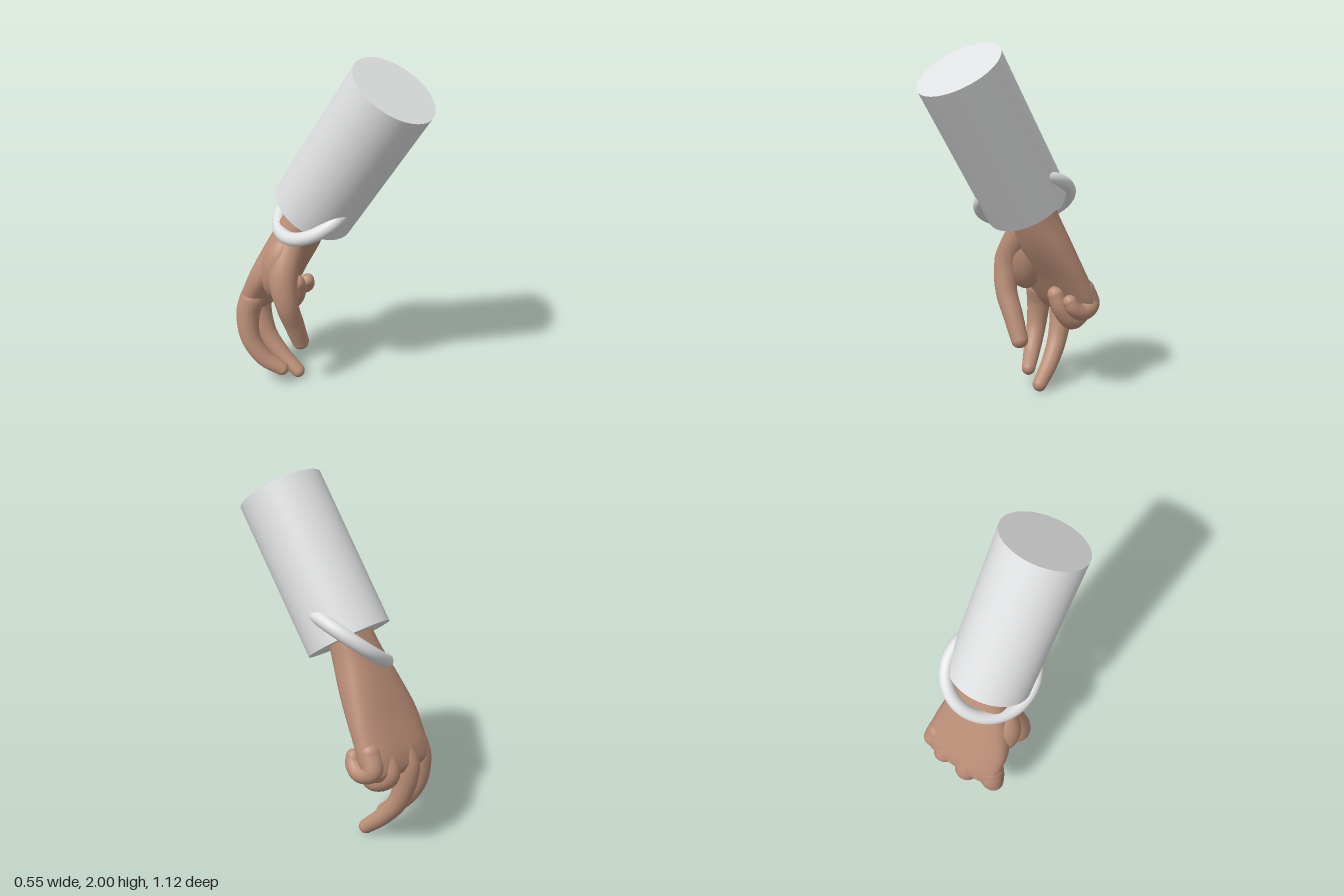
import * as THREE from 'three';

const V = (p) => new THREE.Vector3(p[0], p[1], p[2]);

export function createModel() {
  const model = new THREE.Group();
  const white = new THREE.MeshStandardMaterial({ color: 0xdfe0e1 });
  white.name = 'whiteCloth';
  const skin = new THREE.MeshStandardMaterial({ color: 0xba8e77 });
  skin.name = 'skin';

  function add(parent, name, geometry, material) {
    const mesh = new THREE.Mesh(geometry, material);
    mesh.name = name;
    parent.add(mesh);
    return mesh;
  }

  // Sleeve: a closed, slanted cylinder
  const top = V([0.035, 1.87, 0.365]);
  const bottom = V([0.02, 1.135, -0.13]);
  const axis = top.clone().sub(bottom);
  const sleeve = add(model, 'sleeve', new THREE.CylinderGeometry(0.236, 0.236, axis.length(), 64), white);
  sleeve.position.copy(top).add(bottom).multiplyScalar(0.5);
  sleeve.quaternion.setFromUnitVectors(V([0, 1, 0]), axis.normalize());

  // Cuff ring: a tilted torus partly sunk into the sleeve
  const ring = add(model, 'cuffRing', new THREE.TorusGeometry(0.25, 0.038, 20, 72), white);
  ring.position.set(0.018, 1.155, -0.115);
  ring.quaternion.setFromUnitVectors(V([0, 0, 1]), V([-0.535, 0.814, -0.26]).normalize());

  // Hand
  const hand = new THREE.Group();
  hand.name = 'hand';
  model.add(hand);

  // Palm: flattened cross-sections [x, y, z, half width, half depth] from wrist to knuckles
  const sections = [
    [0.03, 1.2, -0.13, 0.12, 0.095],
    [0.015, 1.05, -0.19, 0.15, 0.105],
    [0.0, 0.9, -0.262, 0.195, 0.108],
    [-0.01, 0.72, -0.36, 0.24, 0.092],
    [0.0, 0.57, -0.44, 0.25, 0.082],
    [0.0, 0.49, -0.48, 0.235, 0.062],
    [0.0, 0.46, -0.49, 0.15, 0.03],
    [0.0, 0.457, -0.49, 0.001, 0.001],
  ];
  add(hand, 'palm', loft(sections, 40, 40), skin);

  // Ball of the thumb
  const ball = add(hand, 'thumbBall', new THREE.SphereGeometry(1, 32, 24), skin);
  ball.scale.set(0.115, 0.2, 0.105);
  ball.position.set(-0.14, 0.79, -0.25);
  ball.rotation.x = 0.2;

  // Digits: [x, y, z, radius] along each bone
  const digits = {
    thumb: [[-0.1, 0.95, -0.2, 0.08], [-0.19, 0.77, -0.19, 0.084], [-0.19, 0.6, -0.168, 0.064],
      [-0.13, 0.45, -0.168, 0.058], [-0.075, 0.315, -0.168, 0.05]],
    indexFinger: [[-0.19, 0.56, -0.43, 0.072], [-0.205, 0.47, -0.45, 0.07], [-0.21, 0.31, -0.435, 0.058],
      [-0.175, 0.18, -0.365, 0.05], [-0.115, 0.105, -0.28, 0.04]],
    middleFinger: [[-0.055, 0.58, -0.45, 0.07], [-0.055, 0.47, -0.49, 0.07], [-0.045, 0.27, -0.45, 0.057],
      [-0.02, 0.14, -0.36, 0.05], [0.005, 0.042, -0.255, 0.041]],
    ringFinger: [[0.09, 0.58, -0.45, 0.066], [0.105, 0.48, -0.485, 0.067], [0.12, 0.43, -0.4, 0.056],
      [0.1, 0.51, -0.33, 0.053], [0.075, 0.59, -0.31, 0.048]],
    littleFinger: [[0.185, 0.62, -0.43, 0.06], [0.2, 0.53, -0.462, 0.058], [0.212, 0.497, -0.385, 0.048],
      [0.198, 0.53, -0.33, 0.045], [0.183, 0.565, -0.315, 0.04]],
  };
  for (const [name, points] of Object.entries(digits)) {
    const digit = new THREE.Group();
    digit.name = name;
    hand.add(digit);
    add(digit, name + 'Body', taperedTube(points, 36, 24), skin);
    // Rounded ends
    for (const p of [points[0], points[points.length - 1]]) {
      add(digit, name + 'End', new THREE.SphereGeometry(p[3], 24, 16), skin).position.copy(V(p));
    }
  }
  return model;
}

// Tube along a spline whose radius follows the fourth value of each point
function taperedTube(points, steps, sides) {
  const curve = new THREE.CatmullRomCurve3(points.map(V));
  const geometry = new THREE.TubeGeometry(curve, steps, 1, sides);
  const position = geometry.attributes.position;
  const v = new THREE.Vector3();
  for (let i = 0; i <= steps; i++) {
    const u = i / steps;
    const centre = curve.getPointAt(u);
    const f = curve.getUtoTmapping(u) * (points.length - 1);
    const k = Math.min(Math.floor(f), points.length - 2);
    const r = THREE.MathUtils.lerp(points[k][3], points[k + 1][3], f - k);
    for (let j = 0; j <= sides; j++) {
      const n = i * (sides + 1) + j;
      v.fromBufferAttribute(position, n).sub(centre).multiplyScalar(r).add(centre);
      position.setXYZ(n, v.x, v.y, v.z);
    }
  }
  return geometry;
}

// Smooth skin over rounded-box cross-sections
function loft(sections, steps, sides) {
  const path = new THREE.CatmullRomCurve3(sections.map(V), false, 'centripetal');
  const sizes = new THREE.CatmullRomCurve3(sections.map((s) => V([s[3], s[4], 0])), false, 'centripetal');
  const soft = (c) => Math.sign(c) * Math.pow(Math.abs(c), 0.8);
  const vertices = [];
  const index = [];
  for (let i = 0; i <= steps; i++) {
    const c = path.getPoint(i / steps);
    const s = sizes.getPoint(i / steps);
    for (let j = 0; j < sides; j++) {
      const a = (j / sides) * Math.PI * 2;
      const w = s.x * soft(Math.cos(a));
      const d = s.y * soft(Math.sin(a));
      vertices.push(c.x + w, c.y - 0.45 * d, c.z + 0.89 * d);
      if (i < steps) {
        const p = i * sides + j;
        const q = i * sides + ((j + 1) % sides);
        index.push(p, q, p + sides, q, q + sides, p + sides);
      }
    }
  }
  const geometry = new THREE.BufferGeometry();
  geometry.setAttribute('position', new THREE.Float32BufferAttribute(vertices, 3));
  geometry.setIndex(index);
  geometry.computeVertexNormals();
  return geometry;
}
